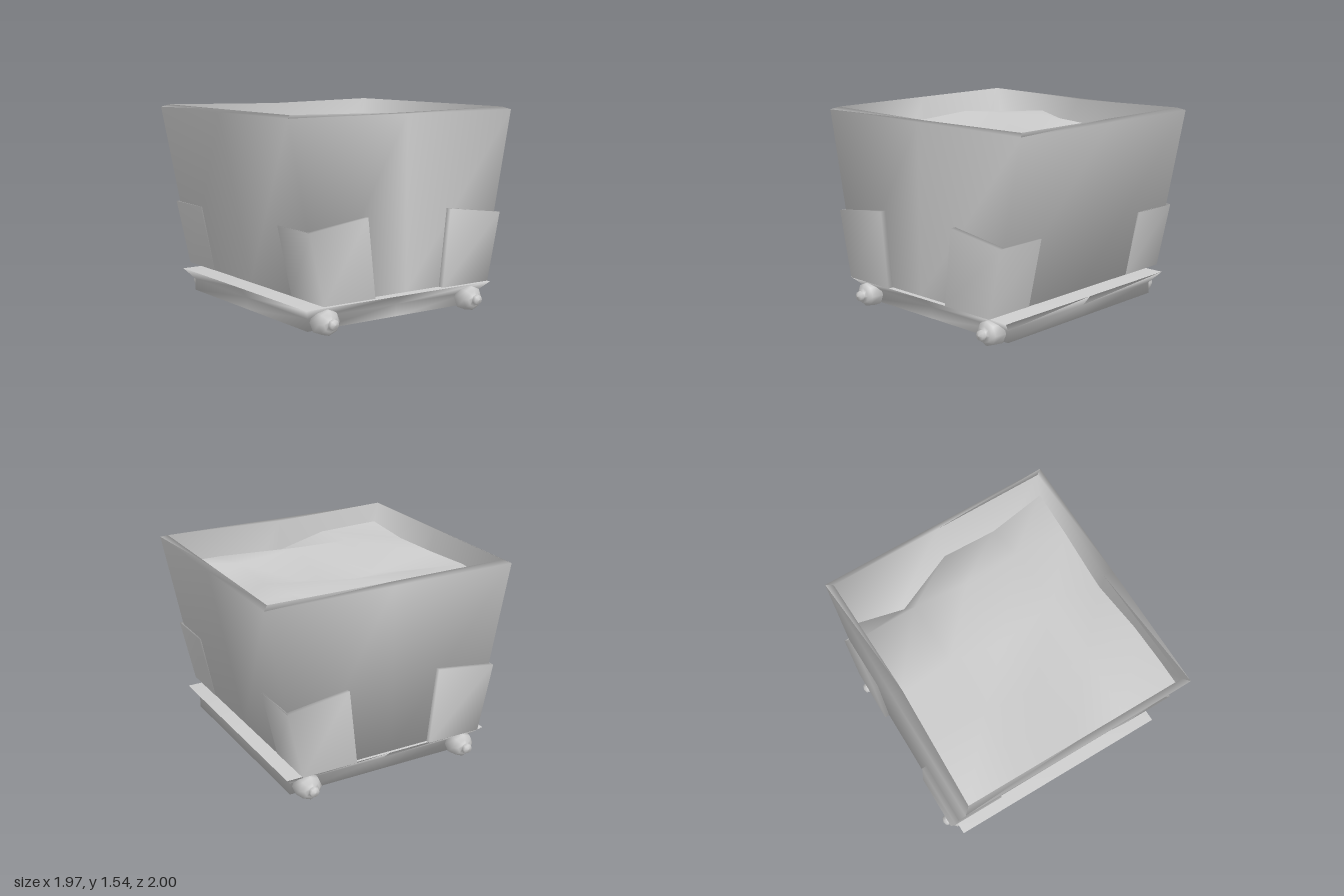
import * as THREE from 'three';

const grey = new THREE.MeshStandardMaterial({ color: 0xcccccc });
grey.name = 'plain grey';
grey.side = THREE.DoubleSide;

// Smooth skin through rings of [x, y, z] points, counter-clockwise seen from above
function loft(rings) {
  const n = rings[0].length, index = [];
  for (let r = 0; r < rings.length - 1; r++) {
    for (let i = 0; i < n; i++) {
      const a = r * n + i, b = r * n + (i + 1) % n;
      index.push(a, b, b + n, a, b + n, a + n);
    }
  }
  const top = (rings.length - 1) * n;
  for (let i = 1; i < n - 1; i++) index.push(0, i + 1, i, top, top + i, top + i + 1);
  return surface(rings.flat(), index);
}

function surface(points, index) {
  const g = new THREE.BufferGeometry();
  g.setAttribute('position', new THREE.Float32BufferAttribute(points.flat(), 3));
  g.setIndex(index);
  g.computeVertexNormals();
  return g;
}

// Rectangle with midpoints; the middles of the long sides may sag down and inwards
const rectangle = ([y, x, z, sag = 0]) => {
  const mx = x - sag * 1.7, my = y - sag;
  return [[x, y, z], [mx, my, 0], [x, y, -z], [0, y, -z],
    [-x, y, -z], [-mx, my, 0], [-x, y, z], [0, y, z]];
};

// L-shaped plate wrapped around one lower corner of the tub
function braceGeometry(sx, sz) {
  const level = (inner, outer, ySide, yCorner) => {
    const ring = [
      [0.915, yCorner, outer - 0.02], [0.915, ySide, inner], [0.964, ySide, inner],
      [0.964, yCorner, outer], [0.56, yCorner, outer], [0.56, yCorner, outer - 0.02],
    ].map(([x, y, z]) => [sx * x + 0.005, y, sz * z]);
    // mirrored corners run the other way; the inside bend stays first for the end caps
    return sx * sz > 0 ? [ring[0], ...ring.slice(1).reverse()] : ring;
  };
  return loft([level(0.31, 0.748, 0.24, 0.24), level(0.375, 0.862, 0.82, 0.755)]);
}

// Uneven load: two humps with a valley between, falling away at the back
function loadGeometry() {
  const rows = [-1, -0.6, -0.05, 0.45, 1];
  const heights = [
    [1.00, 0.84, 1.20, 1.18, 1.30],
    [1.39, 1.40, 1.34, 1.37, 1.30],
    [1.28, 1.43, 1.22, 1.42, 1.26],
    [1.39, 1.41, 1.26, 1.41, 1.37],
    [1.34, 1.38, 1.36, 1.35, 1.38],
  ];
  const points = [], index = [];
  heights.forEach((row, j) => row.forEach((y, i) => {
    const wall = 0.955 - 0.2 * (1.54 - y);
    points.push([(i / 2 - 1) * 0.87, y, rows[j] * wall]);
    if (i < 4 && j < 4) {
      const a = j * 5 + i;
      index.push(a, a + 5, a + 1, a + 1, a + 5, a + 6);
    }
  }));
  return surface(points, index);
}

export function createModel() {
  const model = new THREE.Group();
  model.name = 'cart';
  const add = (name, geometry) => {
    const mesh = new THREE.Mesh(geometry, grey);
    mesh.name = name;
    model.add(mesh);
    return mesh;
  };

  // Tub: tapered outside, bevelled rim sagging along the sides, inner walls and floor
  add('tub', loft([
    [0.24, 0.923, 0.745], [1.52, 0.923, 1.0], [1.54, 0.873, 0.955, 0.016],
    [0.29, 0.873, 0.705],
  ].map(rectangle)));
  add('load', loadGeometry());

  // Chassis tray with a flared upper lip
  add('chassis', loft([
    [0.04, 0.815, 0.78], [0.13, 0.815, 0.78], [0.21, 0.9, 0.843],
  ].map(rectangle)));

  // Octagonal wheel with a small hub, axis turned to point outwards
  const wheel = new THREE.LatheGeometry([
    [0, 0.78], [0.103, 0.815], [0.09, 0.905], [0.06, 0.93], [0.03, 0.935],
    [0.042, 0.955], [0.034, 0.975], [0, 0.985],
  ].map(([r, x]) => new THREE.Vector2(r, x)), 8);

  for (const sx of [1, -1]) {
    for (const sz of [1, -1]) {
      const place = (sz > 0 ? 'front' : 'back') + (sx > 0 ? 'Left' : 'Right');
      add(place + 'Brace', braceGeometry(sx, sz));
      const w = add(place + 'Wheel', wheel);
      w.rotation.z = -sx * Math.PI / 2;
      w.position.set(0, 0.103, sz * 0.66);
    }
  }
  return model;
}
